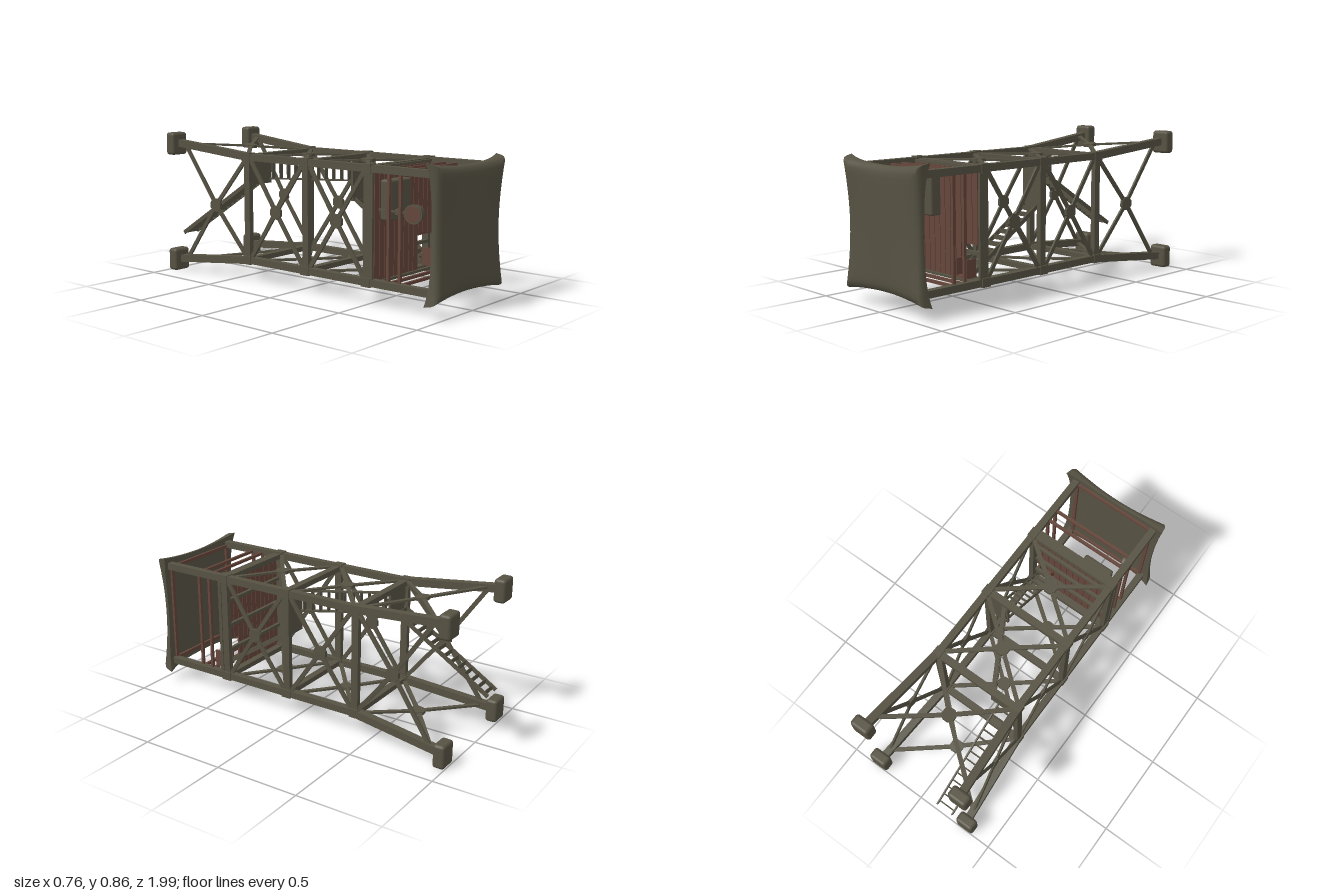
import * as THREE from 'three';
import { toCreasedNormals } from 'three/addons/utils/BufferGeometryUtils.js';
import { RoundedBoxGeometry } from 'three/addons/geometries/RoundedBoxGeometry.js';

// A watchtower lying on its back: its height runs along +z.
const CY = 0.435, HX = 0.27, HY = 0.307;
const RINGS = [-0.39, 0.07, 0.51];

export function createModel() {
  const olive = new THREE.MeshStandardMaterial({ color: 0x565243 });
  olive.name = 'olive paint';
  const brown = new THREE.MeshStandardMaterial({ color: 0x65463a });
  brown.name = 'brown wood';

  const model = new THREE.Group();
  model.name = 'watchtower';
  const V = (x, y, z) => new THREE.Vector3(x, y, z);
  const group = (name) => {
    const g = new THREE.Group();
    g.name = name;
    model.add(g);
    return g;
  };
  const add = (parent, name, geo, mat, x = 0, y = 0, z = 0) => {
    const m = new THREE.Mesh(geo, mat);
    m.name = name;
    m.position.set(x, y, z);
    parent.add(m);
    return m;
  };
  const box = (parent, name, mat, w, h, d, x, y, z) =>
    add(parent, name, new THREE.BoxGeometry(w, h, d), mat, x, y, z);
  // Bar from a to b; thickness is measured along the normal
  const bar = (parent, name, mat, a, b, width, thick, normal) => {
    const dir = b.clone().sub(a);
    const len = dir.length();
    dir.normalize();
    const side = normal.clone().cross(dir).normalize();
    const up = dir.clone().cross(side);
    const m = add(parent, name, new THREE.BoxGeometry(width, thick, len), mat);
    m.quaternion.setFromRotationMatrix(new THREE.Matrix4().makeBasis(side, up, dir));
    m.position.copy(a).add(b).multiplyScalar(0.5);
    return m;
  };

  // Half widths of the frame: straight above, splayed at the feet
  const splay = (z) => Math.max(0, (-0.39 - z) / 0.56);
  const hx = (z) => HX + 0.047 * splay(z);
  const hy = (z) => HY + 0.056 * splay(z);

  // Posts, splayed legs, sleeves and feet
  const frame = group('frame');
  for (const sx of [-1, 1]) for (const sy of [-1, 1]) {
    const at = (z) => V(sx * hx(z), CY + sy * hy(z), z);
    bar(frame, 'post', olive, at(-0.39), at(0.95), 0.04, 0.04, V(0, 1, 0));
    bar(frame, 'leg', olive, at(-0.96), at(-0.38), 0.044, 0.044, V(0, 1, 0));
    for (const z of RINGS) box(frame, 'sleeve', olive, 0.05, 0.05, 0.06, sx * HX, CY + sy * HY, z);
    add(frame, 'foot', new RoundedBoxGeometry(0.115, 0.137, 0.07, 3, 0.018), olive,
      sx * 0.322, CY - 0.004 + sy * 0.362, -0.965);
  }

  // Ring beams on all four sides
  for (const z of RINGS) for (const s of [-1, 1]) {
    box(frame, 'ringBeam', olive, 2 * HX, 0.03, 0.042, 0, CY + s * HY, z);
    box(frame, 'ringBeam', olive, 0.03, 2 * HY, 0.042, s * HX, CY, z);
  }

  // Crossed braces with a middle plate in each panel
  const braces = group('braces');
  const panels = [[-0.88, -0.4, -0.64], [-0.37, 0.05, -0.16], [0.09, 0.49, 0.295]];
  for (const [z0, z1, zm] of panels) for (const s of [-1, 1]) {
    const tiltX = Math.atan2(hy(z0) - hy(z1), z1 - z0), tiltY = Math.atan2(hx(z0) - hx(z1), z1 - z0);
    const nearY = V(0, CY + s * (hy(zm) + 0.008), zm);
    const nearX = V(s * (hx(zm) + 0.008), CY, zm);
    for (const t of [-1, 1]) for (const z of [z0, z1]) {
      bar(braces, 'brace', olive, nearY, V(t * (hx(z) - 0.01), CY + s * (hy(z) + 0.004), z), 0.024, 0.012, V(0, 1, 0));
      bar(braces, 'brace', olive, nearX, V(s * (hx(z) + 0.004), CY + t * (hy(z) - 0.01), z), 0.024, 0.012, V(1, 0, 0));
    }
    const a = add(braces, 'bracePlate', new THREE.CylinderGeometry(0.042, 0.042, 0.018, 8), olive, ...nearY.toArray());
    a.geometry.rotateY(Math.PI / 8);
    a.rotation.x = s * tiltX;
    const b = add(braces, 'bracePlate', new THREE.CylinderGeometry(0.042, 0.042, 0.018, 8), olive, ...nearX.toArray());
    b.geometry.rotateY(Math.PI / 8).rotateZ(Math.PI / 2);
    b.rotation.y = -s * tiltY;
    a.geometry = toCreasedNormals(a.geometry, 0.4);
    b.geometry = toCreasedNormals(b.geometry, 0.4);
  }

  // Stairs: two stringers and level treads; across is the half width
  const stairs = (name, a, b, across, count) => {
    const g = group(name);
    const run = b.clone().sub(a);
    for (const s of [-1, 1]) {
      const o = across.clone().multiplyScalar(s);
      bar(g, 'stringer', olive, a.clone().add(o), b.clone().add(o), 0.024, 0.008, across.clone().normalize());
    }
    const alongX = Math.abs(across.x) > 0;
    const w = 2 * across.length();
    for (let i = 0; i < count; i++) {
      const p = a.clone().addScaledVector(run, (i + 0.5) / count);
      box(g, 'tread', olive, alongX ? w : 0.026, alongX ? 0.026 : w, 0.005, p.x, p.y, p.z);
    }
  };
  stairs('lowerStairs', V(-0.195, 0.22, -0.995), V(-0.195, 0.6, -0.39), V(0.053, 0, 0), 14);
  stairs('middleStairs', V(-0.1, 0.66, -0.38), V(0.15, 0.66, 0.06), V(0, 0.06, 0), 11);
  stairs('upperStairs', V(0.197, 0.49, 0.08), V(0.197, 0.18, 0.56), V(0.05, 0, 0), 11);

  // Landings between the stairs
  box(model, 'lowerLanding', olive, 0.17, 0.16, 0.015, -0.175, 0.655, -0.385);
  box(model, 'upperLanding', olive, 0.13, 0.25, 0.015, 0.195, 0.605, 0.07);

  // Cabin floor of planks, with a hatch over the upper stairs
  const cabin = group('cabin');
  const planks = 12, pw = 0.53 / planks;
  for (let i = 0; i < planks; i++) {
    const x = -0.265 + (i + 0.5) * pw;
    const y0 = x > 0.14 && x < 0.25 ? 0.33 : 0.135;
    box(cabin, 'plank', brown, pw - 0.004, 0.735 - y0, 0.012, x, (y0 + 0.735) / 2, 0.541);
  }
  for (const s of [-1, 1]) {
    box(cabin, 'floorEdge', olive, 0.58, 0.015, 0.02, 0, CY + s * 0.31, 0.542);
    box(cabin, 'floorEdge', olive, 0.015, 0.62, 0.02, s * 0.282, CY, 0.542);
    for (const y of [0.28, CY, 0.59]) if (s > 0) box(cabin, 'joist', olive, 0.53, 0.02, 0.02, 0, y, 0.522);
    // Guard rails and the frame under the roof
    for (const z of [0.64, 0.715]) {
      box(cabin, 'rail', brown, 0.52, 0.016, 0.016, 0, CY + s * 0.3, z);
      box(cabin, 'rail', brown, 0.016, 0.58, 0.016, s * 0.262, CY, z);
    }
    box(cabin, 'roofFrame', brown, 0.53, 0.02, 0.014, 0, CY + s * 0.295, 0.932);
    box(cabin, 'roofFrame', brown, 0.02, 0.6, 0.014, s * 0.258, CY, 0.932);
    box(cabin, 'hatchCurb', brown, 0.01, 0.1, 0.065, 0.21 + s * 0.042, 0.21, 0.585);
  }
  box(cabin, 'hatchCurb', brown, 0.094, 0.01, 0.065, 0.21, 0.163, 0.585);
  add(cabin, 'supplyBox', new RoundedBoxGeometry(0.19, 0.22, 0.07, 2, 0.012), olive, -0.125, 0.57, 0.583);

  // Searchlight on its stand, facing -x
  const light = group('searchlight');
  bar(light, 'stand', olive, V(-0.23, 0.52, 0.55), V(-0.23, 0.52, 0.76), 0.01, 0.01, V(0, 1, 0));
  box(light, 'clamp', olive, 0.02, 0.03, 0.03, -0.23, 0.52, 0.68);
  const lamp = new THREE.Group();
  lamp.name = 'lamp';
  lamp.position.set(-0.222, 0.52, 0.78);
  lamp.rotation.y = 0.2;
  light.add(lamp);
  const drum = new THREE.CylinderGeometry(0.044, 0.052, 0.055, 20).rotateZ(-Math.PI / 2);
  add(lamp, 'lampHousing', toCreasedNormals(drum, 0.6), olive);
  add(lamp, 'lampLens', new THREE.CylinderGeometry(0.043, 0.043, 0.004, 20).rotateZ(-Math.PI / 2), brown, -0.029);

  // Tarpaulin roof: a soft slab with hollow sides and pulled corners
  const roof = new THREE.BoxGeometry(2, 2, 2, 28, 28, 6);
  const p = roof.attributes.position;
  for (let i = 0; i < p.count; i++) {
    const u = p.getX(i), v = p.getY(i), w = p.getZ(i);
    const corner = Math.pow(Math.abs(u * v), 6);
    const edge = Math.max(Math.abs(u), Math.abs(v));
    const round = 1 - 0.05 * Math.pow(Math.max(0, w), 3);
    const x = u * round * (0.302 + 0.022 * v * v * u * u + 0.008 * corner * (1 - w) / 2);
    const y = v * round * (0.335 + 0.022 * u * u * v * v + 0.012 * corner * (1 - w) / 2);
    const front = 0.982 + 0.018 * u * u * v * v - 0.01 * Math.pow(edge, 20);
    const back = 0.94 - 0.022 * corner;
    p.setXYZ(i, x, CY + y, w > 0 ? 0.945 + (front - 0.945) * w : 0.945 + (0.945 - back) * w);
  }
  add(model, 'tarpRoof', toCreasedNormals(roof, 1.2), olive);

  return model;
}
